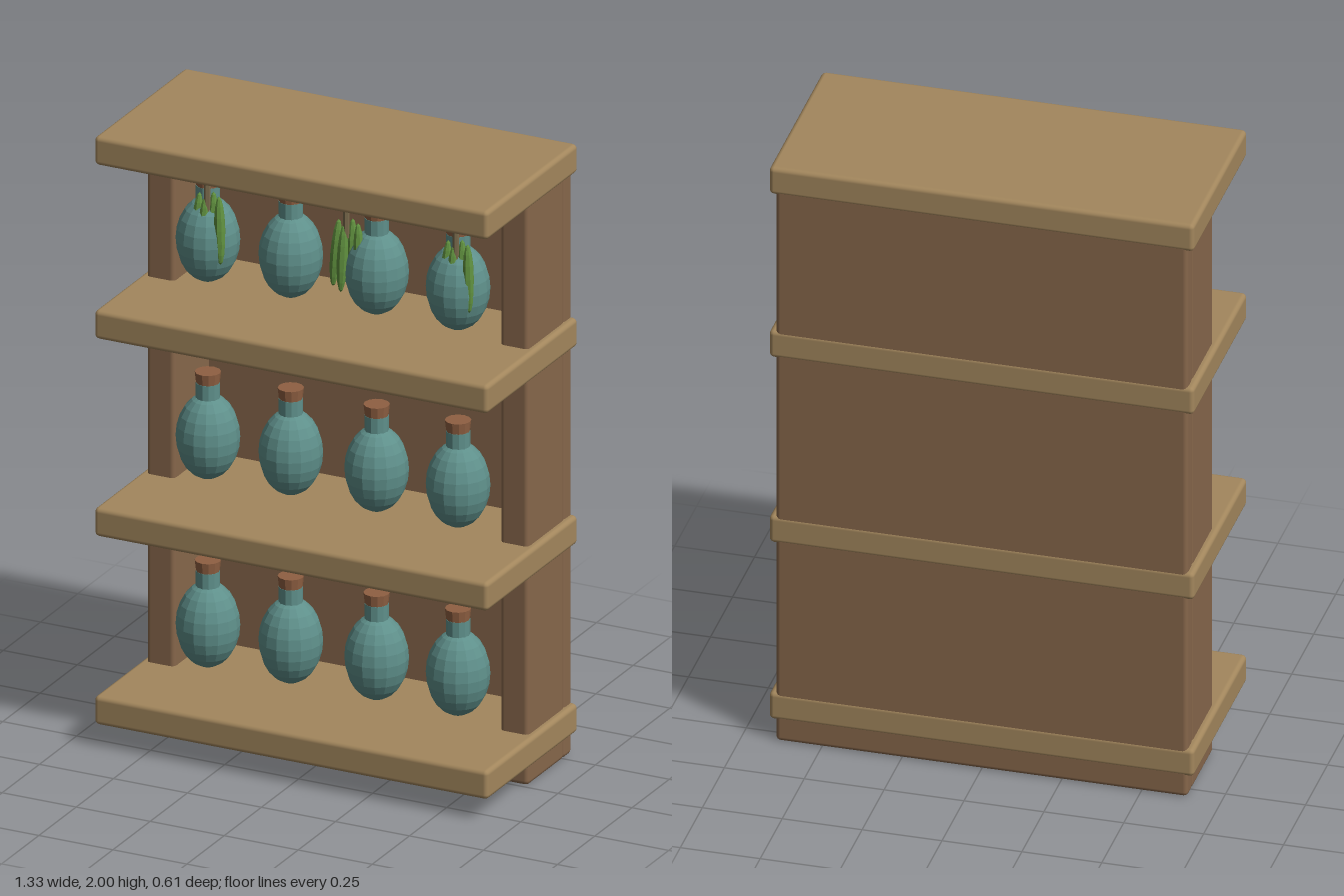
import * as THREE from 'three';
import { RoundedBoxGeometry } from 'three/addons/geometries/RoundedBoxGeometry.js';

function material(name, color, flatShading = false) {
  const m = new THREE.MeshStandardMaterial({ color, flatShading });
  m.name = name;
  return m;
}

export function createModel() {
  const model = new THREE.Group();
  model.name = 'potionShelf';

  const lightWood = material('lightWood', 0xa3875d);
  const darkWood = material('darkWood', 0x87674b);
  const glass = material('tealGlass', 0x5f908b, true);
  const cork = material('cork', 0x8f6042, true);
  const leafGreen = material('leafGreen', 0x5f8f3e, true);
  const twine = material('twine', 0x7a6a4c, true);

  const add = (parent, name, geometry, mat, x = 0, y = 0, z = 0) => {
    const mesh = new THREE.Mesh(geometry, mat);
    mesh.name = name;
    mesh.position.set(x, y, z);
    parent.add(mesh);
    return mesh;
  };
  const board = (w, h, d) => new RoundedBoxGeometry(w, h, d, 2, 0.015);

  // Frame: back panel and two side posts
  add(model, 'backPanel', board(1.29, 1.96, 0.058), darkWood, 0, 0.985, -0.274);
  for (const side of [-1, 1]) {
    add(model, 'sidePost', board(0.095, 1.96, 0.245), darkWood, side * 0.5975, 0.985, -0.13);
  }

  // Shelves and top board
  const shelfGeometry = board(1.33, 0.094, 0.61);
  for (const y of [0.125, 0.74, 1.385, 1.953]) {
    add(model, 'shelf', shelfGeometry, lightWood, 0, y, 0);
  }

  // Corked bottles, four on each shelf
  const bodyGeometry = new THREE.SphereGeometry(0.098, 16, 12).scale(1, 1.4, 1);
  const neckGeometry = new THREE.CylinderGeometry(0.037, 0.037, 0.09, 12);
  const corkGeometry = new THREE.CylinderGeometry(0.04, 0.036, 0.035, 12);
  for (const y of [0.35, 0.965, 1.61]) {
    for (const x of [-0.42, -0.14, 0.15, 0.425]) {
      const bottle = new THREE.Group();
      bottle.name = 'bottle';
      bottle.position.set(x, y, 0.025);
      add(bottle, 'bottleBody', bodyGeometry, glass);
      add(bottle, 'bottleNeck', neckGeometry, glass, 0, 0.13, 0);
      add(bottle, 'bottleCork', corkGeometry, cork, 0, 0.1925, 0);
      model.add(bottle);
    }
  }

  // Herb bunches hanging from the top board
  const leafGeometry = new THREE.SphereGeometry(0.018, 8, 8).scale(1, 6, 1);
  const stringGeometry = new THREE.CylinderGeometry(0.01, 0.01, 0.2, 6);
  const leaves = [[-0.035, 1.665, 0], [-0.008, 1.655, 0.01], [0.015, 1.67, -0.01], [0.045, 1.665, 0.005]];
  for (const x of [-0.4, 0.07, 0.44]) {
    const bunch = new THREE.Group();
    bunch.name = 'herbBunch';
    bunch.position.set(x, 0, 0.07);
    add(bunch, 'twineString', stringGeometry, twine, 0, 1.82, 0);
    for (const [dx, y, dz] of leaves) {
      const leaf = add(bunch, 'herbLeaf', leafGeometry, leafGreen, dx, y, dz);
      leaf.rotation.set(-0.08, 0, dx * 1.5);
    }
    model.add(bunch);
  }

  return model;
}
